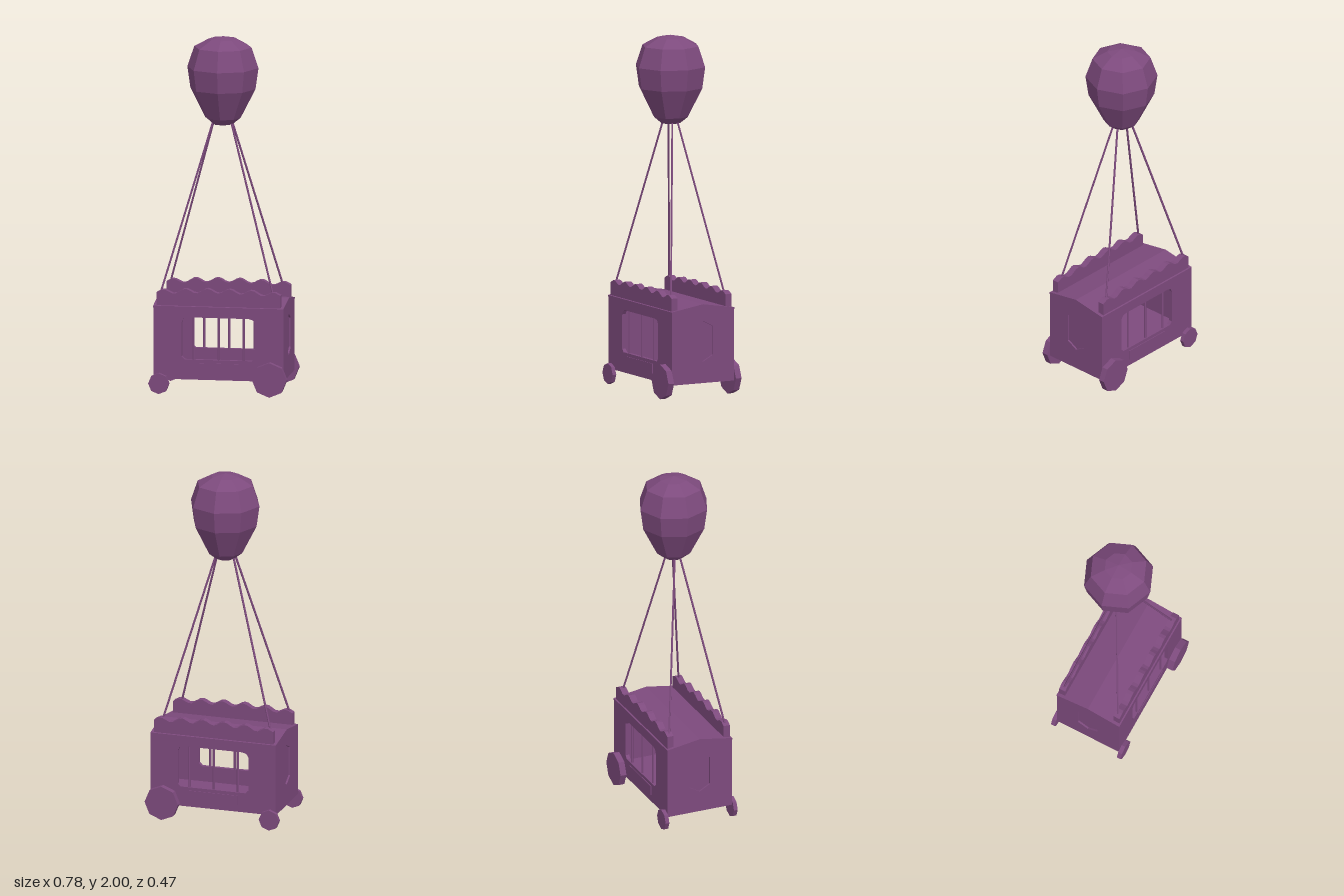
import * as THREE from 'three';

const material = new THREE.MeshStandardMaterial({ color: 0x7d4a7d, flatShading: true });

const toShape = (pts) => new THREE.Shape(pts.map(([x, y]) => new THREE.Vector2(x, y)));
const toPath = (pts) => new THREE.Path(pts.map(([x, y]) => new THREE.Vector2(x, y)));

function add(parent, name, geometry, x = 0, y = 0, z = 0) {
  const mesh = new THREE.Mesh(geometry, material);
  mesh.name = name;
  mesh.position.set(x, y, z);
  parent.add(mesh);
  return mesh;
}

// Extrudes an outline along z, centred on z = 0.
function slab(pts, depth, hole) {
  const shape = toShape(pts);
  if (hole) shape.holes.push(toPath(hole));
  return new THREE.ExtrudeGeometry(shape, { depth, bevelEnabled: false }).translate(0, 0, -depth / 2);
}

function rod(parent, name, from, to, radius) {
  const dir = to.clone().sub(from);
  const mesh = add(parent, name, new THREE.CylinderGeometry(radius, radius, dir.length(), 6));
  mesh.position.copy(from).addScaledVector(dir, 0.5);
  mesh.quaternion.setFromUnitVectors(new THREE.Vector3(0, 1, 0), dir.normalize());
}

export function createModel() {
  const model = new THREE.Group();
  model.name = 'balloonWagon';

  // Wagon body
  const body = new THREE.Group();
  body.name = 'body';
  model.add(body);
  add(body, 'floor', new THREE.BoxGeometry(0.73, 0.025, 0.39), 0, 0.0975, 0);

  const wall = [[-0.35, 0.085], [0.35, 0.085], [0.35, 0.495], [-0.35, 0.495]];
  const windowHole = [
    [-0.207, 0.215], [-0.207, 0.41], [-0.195, 0.43], [-0.17, 0.437], [0.17, 0.437], [0.195, 0.43],
    [0.207, 0.41], [0.207, 0.215], [0.19, 0.198], [-0.19, 0.198],
  ];
  const gable = [[-0.197, 0.085], [0.197, 0.085], [0.197, 0.49], [0, 0.521], [-0.197, 0.49]];
  const hexagon = [[0, 0.205], [-0.062, 0.24], [-0.062, 0.405], [0, 0.437], [0.062, 0.405], [0.062, 0.24]];

  // Wavy crest outline
  const crest = [[-0.35, 0.5], [0.35, 0.5], [0.35, 0.572]];
  for (let i = 0; i <= 32; i++) {
    const x = 0.32 - 0.02 * i;
    const mid = 0.588 - 0.12 * x * x;
    crest.push([x, mid + 0.013 * Math.cos((x - 0.062) * Math.PI * 2 / 0.125)]);
  }
  crest.push([-0.35, 0.572]);

  for (const s of [1, -1]) {
    // Long sides: wall with window, bars, ledge and crest
    add(body, 'sideWall', slab(wall, 0.022, windowHole), 0, 0, s * 0.186);
    for (const x of [-0.142, 0, 0.142]) {
      add(body, 'windowBar', new THREE.CylinderGeometry(0.007, 0.007, 0.25, 6), x, 0.317, s * 0.186);
    }
    add(body, 'sidePanel', new THREE.BoxGeometry(0.29, 0.055, 0.01), 0, 0.152, s * 0.196);
    add(body, 'wavyCrest', slab(crest, 0.038), 0, 0, s * 0.172);

    // Ends: gable wall with a shallow six-sided recess
    add(body, 'endWall', slab(gable, 0.01, hexagon), s * 0.362, 0, 0).rotation.y = Math.PI / 2;
    add(body, 'endPanel', slab(gable, 0.01), s * 0.352, 0, 0).rotation.y = Math.PI / 2;

    // Wheels: small at one end, large at the other
    for (const [name, x, r, width] of [['smallWheel', -0.334, 0.059, 0.023], ['largeWheel', 0.293, 0.098, 0.036]]) {
      const wheel = add(model, name, new THREE.CylinderGeometry(r, r, width, 8), x, r + 0.001, s * (0.197 + width / 2));
      wheel.rotation.x = Math.PI / 2;
    }
  }

  // Shallow pitched roof
  const roof = [[-0.199, 0.488], [0, 0.519], [0.199, 0.488], [0.199, 0.498], [0, 0.53], [-0.199, 0.498]];
  add(body, 'roof', slab(roof, 0.736)).rotation.y = Math.PI / 2;

  // Ropes from the roof corners to the balloon neck
  for (const sx of [-1, 1]) {
    for (const sz of [-1, 1]) {
      rod(model, 'rope',
        new THREE.Vector3(sx * 0.322 - 0.012, 0.555, sz * 0.173),
        new THREE.Vector3(sx * 0.048 - 0.008, 1.53, sz * 0.014), 0.006);
    }
  }

  // Eight-sided balloon
  const profile = [
    [0, 1.5], [0.055, 1.504], [0.1, 1.54], [0.184, 1.705], [0.201, 1.825], [0.162, 1.94], [0.08, 1.985], [0, 2],
  ].map(([r, y]) => new THREE.Vector2(r, y));
  add(model, 'balloon', new THREE.LatheGeometry(profile, 8), -0.006, 0, 0);

  return model;
}
